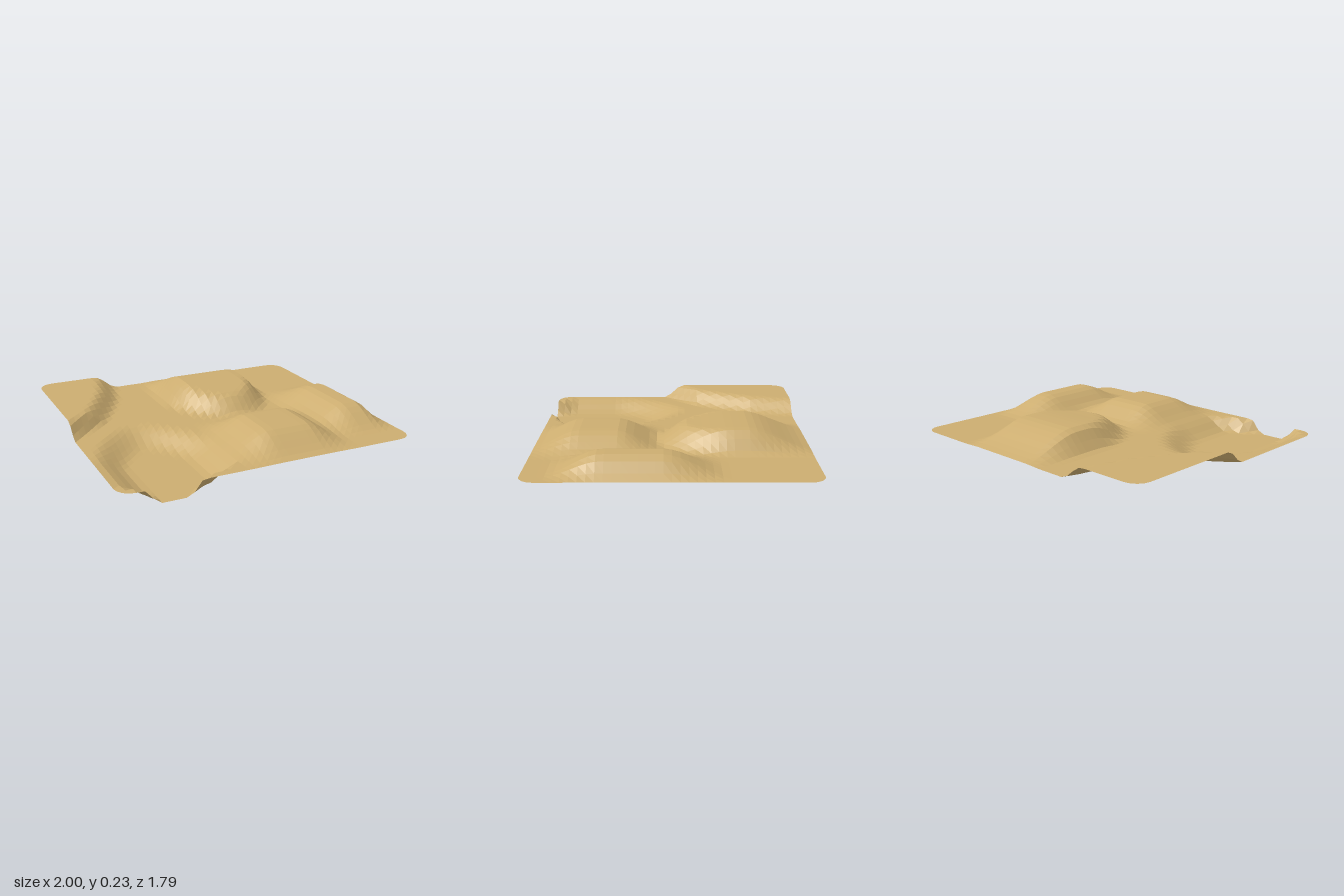
import * as THREE from 'three';

const { smoothstep, lerp } = THREE.MathUtils;
const rise = (a, b, v) => smoothstep(v, a, b);
const fall = (a, b, v) => 1 - smoothstep(v, a, b);

// Linear interpolation through [t, value] pairs
function along(points, t) {
  for (let i = 1; i < points.length; i++) {
    const [t0, v0] = points[i - 1], [t1, v1] = points[i];
    if (t <= t1) return lerp(v0, v1, (t - t0) / (t1 - t0));
  }
  return points[points.length - 1][1];
}

// Foot of the back plateau: x for each z
const plateauEdge = [[-0.9, -0.48], [-0.6, -0.56], [-0.4, -0.66], [-0.2, -0.78], [-0.1, -0.9], [0, -1.02], [0.1, -1.15]];

const plateau = (x, z) => {
  const e = along(plateauEdge, z);
  return 0.097 * fall(e - 0.09, e + 0.08, x);
};

// Dune with a steep rounded nose and a gentle tail towards the back
const backDune = (x, z) => {
  const r = Math.hypot((x - 0.16) / 0.31, Math.max(0, z + 0.4) / 0.42);
  const crest = lerp(0.14, 0.12, rise(-0.4, -0.05, z));
  return crest * rise(-0.95, -0.48, z) * fall(0.72, 1.25, r);
};

const frontDune = (x, z) =>
  0.12 * rise(0.05, 0.36, z) * fall(0.6, 0.92, z) * rise(-0.22, 0.08, x) * fall(0.33, 0.6, x);

const sideDune = (x, z) =>
  0.122 * rise(-0.33, 0.06, z) * fall(0.42, 0.76, z) * rise(0.48, 0.76, x) * fall(0.85, 1.01, x);

// Hollow that narrows to a small notch at the front rim
const hollow = (x, z) => {
  const rim = rise(0.74, 0.9, z);
  const p = Math.abs(x - lerp(-0.58, -0.67, rim)) / lerp(0.31, 0.14, rim);
  const q = Math.max(0, 0.45 - z) / 0.42;
  const r = Math.pow(Math.pow(p, 1.6) + Math.pow(q, 1.6), 1 / 1.6);
  return -0.095 * fall(0.62, 1.33, r);
};

const height = (x, z) =>
  0.097 + plateau(x, z) + backDune(x, z) + frontDune(x, z) + sideDune(x, z) + hollow(x, z);

export function createModel() {
  const group = new THREE.Group();
  group.name = 'terrain';

  const geometry = new THREE.PlaneGeometry(2, 1.79, 40, 36).rotateX(-Math.PI / 2);
  const pos = geometry.attributes.position;
  const round = 0.1;
  for (let i = 0; i < pos.count; i++) {
    let x = pos.getX(i), z = pos.getZ(i);
    // Round the four corners of the sheet
    const dx = (Math.abs(x) - (1 - round)) / round;
    const dz = (Math.abs(z) - (0.895 - round)) / round;
    if (dx > 0 && dz > 0) {
      x = Math.sign(x) * (1 - round + round * dx * Math.sqrt(1 - dz * dz / 2));
      z = Math.sign(z) * (0.895 - round + round * dz * Math.sqrt(1 - dx * dx / 2));
    }
    pos.setXYZ(i, x, height(x, z), z);
  }
  geometry.computeVertexNormals();

  const sand = new THREE.MeshStandardMaterial({ color: 0xccad70, side: THREE.DoubleSide, flatShading: true });
  const ground = new THREE.Mesh(geometry, sand);
  ground.name = 'sandSurface';
  group.add(ground);
  return group;
}
